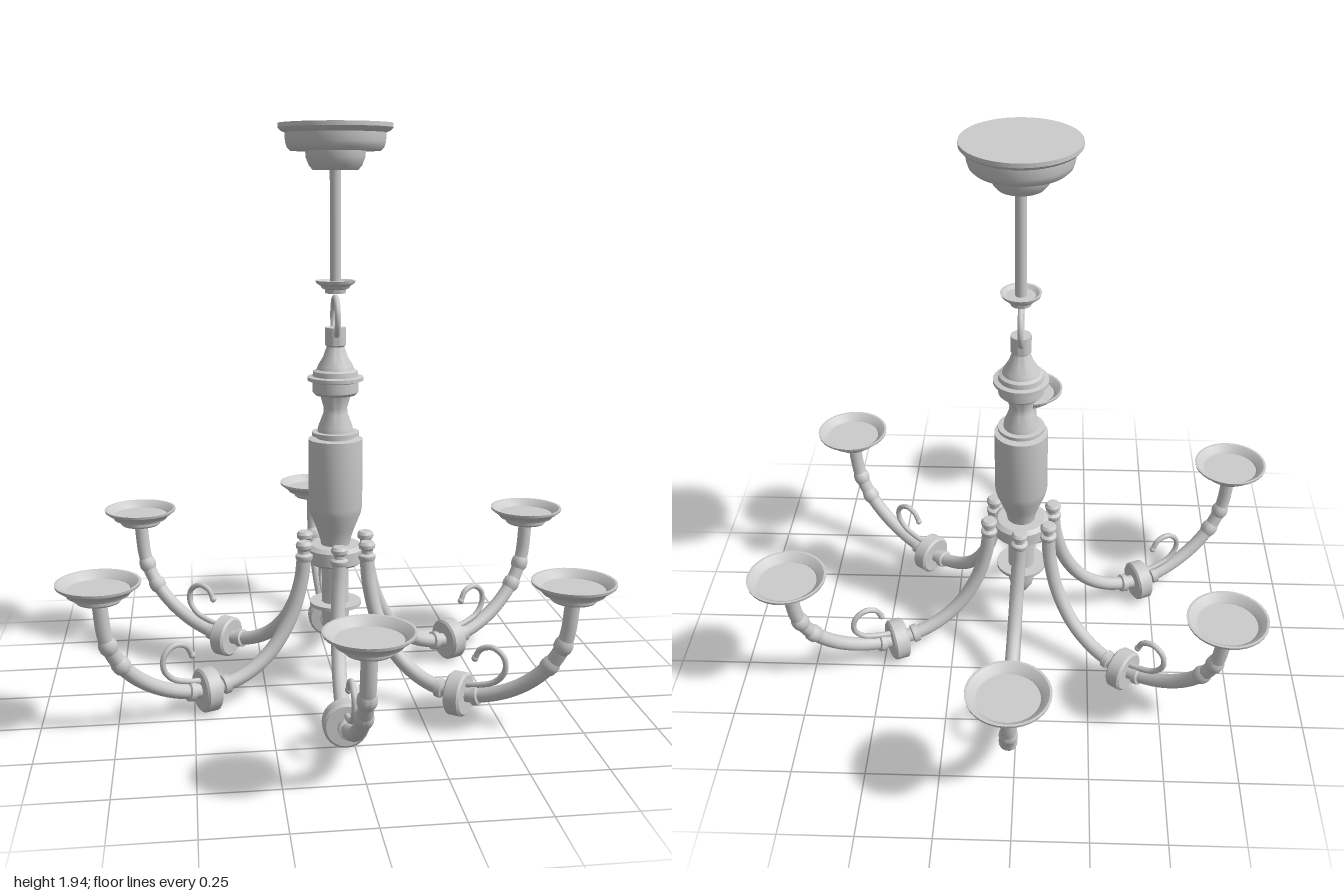
import * as THREE from 'three';
import { toCreasedNormals } from 'three/addons/utils/BufferGeometryUtils.js';

const material = new THREE.MeshStandardMaterial({ color: 0xcccccc, side: THREE.DoubleSide });

function part(name, geometry, parent) {
  const mesh = new THREE.Mesh(geometry, material);
  mesh.name = name;
  parent.add(mesh);
  return mesh;
}

// Turned solid from [radius, height] pairs, listed bottom to top
function turned(name, profile, parent, sides = 32) {
  const points = profile.map(([r, y]) => new THREE.Vector2(r, y));
  return part(name, toCreasedNormals(new THREE.LatheGeometry(points, sides), 0.6), parent);
}

// Smooth curve through [x, y, z] points
function curveOf(points) {
  return new THREE.CatmullRomCurve3(points.map((p) => new THREE.Vector3(...p)));
}

// Turned bead threaded on a curve at fraction u
function threaded(name, profile, curve, u, parent, sides) {
  const mesh = turned(name, profile, parent, sides);
  mesh.position.copy(curve.getPointAt(u));
  mesh.quaternion.setFromUnitVectors(new THREE.Vector3(0, 1, 0), curve.getTangentAt(u));
}

// Fraction along a curve closest to a point
function closest(curve, x, y) {
  let best = 0, bestDistance = Infinity;
  for (let i = 0; i <= 200; i++) {
    const p = curve.getPointAt(i / 200);
    const d = Math.hypot(p.x - x, p.y - y);
    if (d < bestDistance) { bestDistance = d; best = i / 200; }
  }
  return best;
}

// One arm, reaching out along +x
function createArm() {
  const arm = new THREE.Group();
  arm.name = 'arm';

  const path = curveOf([
    [0.125, 0.5, 0], [0.135, 0.41, 0.004], [0.175, 0.28, 0.01], [0.255, 0.165, 0.016],
    [0.36, 0.1, 0.02], [0.485, 0.08, 0.022], [0.6, 0.1, 0.018], [0.71, 0.155, 0.012],
    [0.795, 0.235, 0.006], [0.845, 0.33, 0.002], [0.865, 0.475, 0],
  ]);
  part('armTube', new THREE.TubeGeometry(path, 64, 0.025, 12), arm);

  // Disc and collars at the lowest point
  const knot = closest(path, 0.485, 0.08);
  threaded('armDisc', [[0, -0.029], [0.066, -0.029], [0.074, -0.022], [0.074, 0.022], [0.066, 0.029], [0, 0.029]],
    path, knot, arm, 24);
  const collar = [[0.024, -0.014], [0.033, -0.01], [0.033, 0.01], [0.024, 0.014]];
  for (const offset of [-0.065, 0.065]) {
    threaded('armCollar', collar, path, closest(path, 0.485 + offset, 0.085), arm, 16);
  }

  // Swellings on the rising outer end
  const bead = [[0.024, -0.025], [0.03, -0.012], [0.031, 0], [0.03, 0.012], [0.024, 0.025]];
  for (const [x, y] of [[0.835, 0.31], [0.795, 0.235]]) {
    threaded('armBead', bead, path, closest(path, x, y), arm, 14);
  }

  // Knob on the inner end
  turned('armKnob', [[0.025, 0.48], [0.03, 0.49], [0.03, 0.5], [0.019, 0.507], [0.019, 0.517],
    [0.028, 0.526], [0.029, 0.538], [0.022, 0.548], [0, 0.55]], arm, 16).position.x = 0.125;

  // Curled scroll above the outer half
  const scroll = curveOf([
    [0.5, 0.115, 0.021], [0.56, 0.125, 0.02], [0.617, 0.148, 0.017], [0.648, 0.19, 0.014],
    [0.643, 0.235, 0.014], [0.605, 0.262, 0.016], [0.563, 0.25, 0.018], [0.543, 0.215, 0.019],
  ]);
  part('scroll', new THREE.TubeGeometry(scroll, 40, 0.01, 8), arm);
  const tip = part('scrollTip', new THREE.SphereGeometry(0.012, 10, 8), arm);
  tip.position.copy(scroll.getPointAt(1));

  // Dish with a recessed middle
  turned('dish', [[0, 0.468], [0.07, 0.468], [0.076, 0.474], [0.078, 0.488], [0.1, 0.492], [0.105, 0.502],
    [0.118, 0.51], [0.133, 0.521], [0.135, 0.53], [0.127, 0.53], [0.104, 0.512], [0.1, 0.506], [0, 0.506]],
    arm).position.x = 0.865;
  return arm;
}

export function createModel() {
  const model = new THREE.Group();
  model.name = 'chandelier';

  // Ceiling mount and suspension
  turned('ceilingCanopy', [[0, 1.8], [0.075, 1.8], [0.088, 1.815], [0.098, 1.84], [0.1, 1.862], [0.15, 1.862],
    [0.16, 1.872], [0.166, 1.89], [0.167, 1.92], [0.182, 1.927], [0.19, 1.936], [0.19, 1.95], [0, 1.95]], model, 48);
  const rod = part('rod', new THREE.CylinderGeometry(0.019, 0.019, 0.4, 20), model);
  rod.position.y = 1.615;
  turned('rodCup', [[0, 1.395], [0.034, 1.395], [0.036, 1.408], [0.046, 1.412], [0.05, 1.42], [0.064, 1.428],
    [0.068, 1.438], [0.06, 1.438], [0.048, 1.428], [0, 1.428]], model);
  const ring = part('hangingRing', new THREE.TorusGeometry(0.066, 0.01, 10, 40), model);
  ring.position.y = 1.315;
  ring.rotation.y = Math.PI / 2;

  // Turned column
  turned('columnTop', [[0, 1.05], [0.068, 1.05], [0.078, 1.06], [0.078, 1.095], [0.095, 1.1], [0.095, 1.112],
    [0.078, 1.115], [0.076, 1.132], [0.064, 1.138], [0.06, 1.15], [0.042, 1.18], [0.03, 1.215],
    [0.035, 1.22], [0.035, 1.28], [0, 1.28]], model);
  turned('columnNeck', [[0.062, 0.918], [0.059, 0.94], [0.042, 0.985], [0.04, 1.005], [0.05, 1.04], [0.053, 1.055]], model);
  turned('columnBody', [[0, 0.52], [0.05, 0.52], [0.054, 0.545], [0.066, 0.58], [0.088, 0.635], [0.093, 0.66],
    [0.093, 0.897], [0.065, 0.9], [0.065, 0.907], [0.081, 0.91], [0.081, 0.922], [0, 0.925]], model);
  turned('hub', [[0, 0.455], [0.085, 0.455], [0.1, 0.465], [0.1, 0.51], [0.085, 0.522], [0, 0.525]], model);
  turned('lowerStem', [[0.05, 0.3], [0.047, 0.33], [0.047, 0.46]], model, 24);
  turned('lowerFlange', [[0, 0.303], [0.09, 0.303], [0.09, 0.315], [0, 0.315]], model);
  turned('bottomFinial', [[0, 0.165], [0.012, 0.17], [0.025, 0.187], [0.042, 0.215], [0.046, 0.235],
    [0.05, 0.305], [0, 0.306]], model, 24);

  // Six arms, each at its own heading in degrees
  for (const heading of [-89.3, -24.7, 36.9, 90.7, 156.5, 217]) {
    const arm = createArm();
    arm.rotation.y = -THREE.MathUtils.degToRad(heading);
    model.add(arm);
  }
  return model;
}
